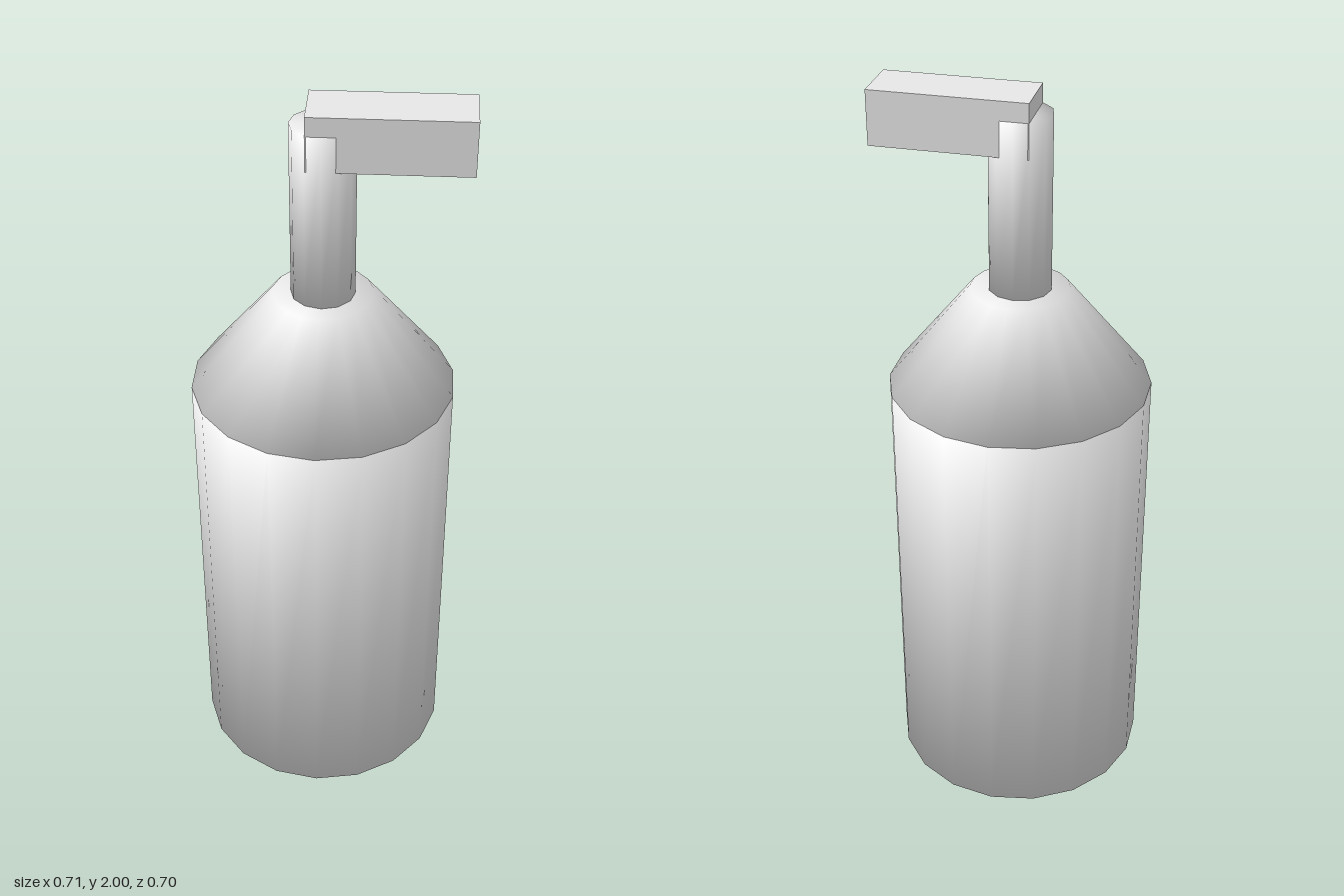
import * as THREE from 'three';
import { mergeVertices } from 'three/addons/utils/BufferGeometryUtils.js';

// Closed cylinder or frustum whose smooth normals roll over the rims onto the caps
function softCylinder(rBottom, rTop, y0, y1, sides) {
  const height = y1 - y0;
  let geo = new THREE.CylinderGeometry(rTop, rBottom, height, sides);
  geo.deleteAttribute('uv');
  geo.deleteAttribute('normal');
  geo = mergeVertices(geo, 1e-5);

  // Each rim normal blends the side and cap directions by their corner angles
  const side = new THREE.Vector2(height, rBottom - rTop).normalize();
  const capWeight = (Math.PI - (2 * Math.PI) / sides) / Math.PI;
  const pos = geo.attributes.position;
  const normals = [];
  const n = new THREE.Vector3();
  for (let i = 0; i < pos.count; i++) {
    const x = pos.getX(i), z = pos.getZ(i);
    const r = Math.hypot(x, z);
    const cap = Math.sign(pos.getY(i));
    if (r < 1e-4) n.set(0, cap, 0);
    else n.set((side.x * x) / r, side.y + cap * capWeight, (side.x * z) / r).normalize();
    normals.push(n.x, n.y, n.z);
  }
  geo.setAttribute('normal', new THREE.Float32BufferAttribute(normals, 3));
  geo.translate(0, (y0 + y1) / 2, 0);
  return geo;
}

export function createModel() {
  const group = new THREE.Group();
  group.name = 'pumpBottle';
  const paleGrey = new THREE.MeshStandardMaterial({ color: 0xe7e7e7 });
  paleGrey.name = 'pale grey';

  const add = (name, geometry, x, y = 0) => {
    const mesh = new THREE.Mesh(geometry, paleGrey);
    mesh.name = name;
    mesh.position.set(x, y, 0);
    group.add(mesh);
  };

  // Bottle axis sits slightly off centre because the nozzle overhangs
  const axis = -0.0125;
  add('body', softCylinder(0.35, 0.35, 0, 1.205, 18), axis);
  add('shoulder', softCylinder(0.35, 0.13, 1.205, 1.48, 18), axis);
  add('pumpStem', softCylinder(0.083, 0.083, 1.48, 1.95, 12), axis);

  // Flat-faced nozzle pointing to the left side
  add('nozzle', new THREE.BoxGeometry(0.407, 0.143, 0.147), 0.1525, 1.9285);
  return group;
}
